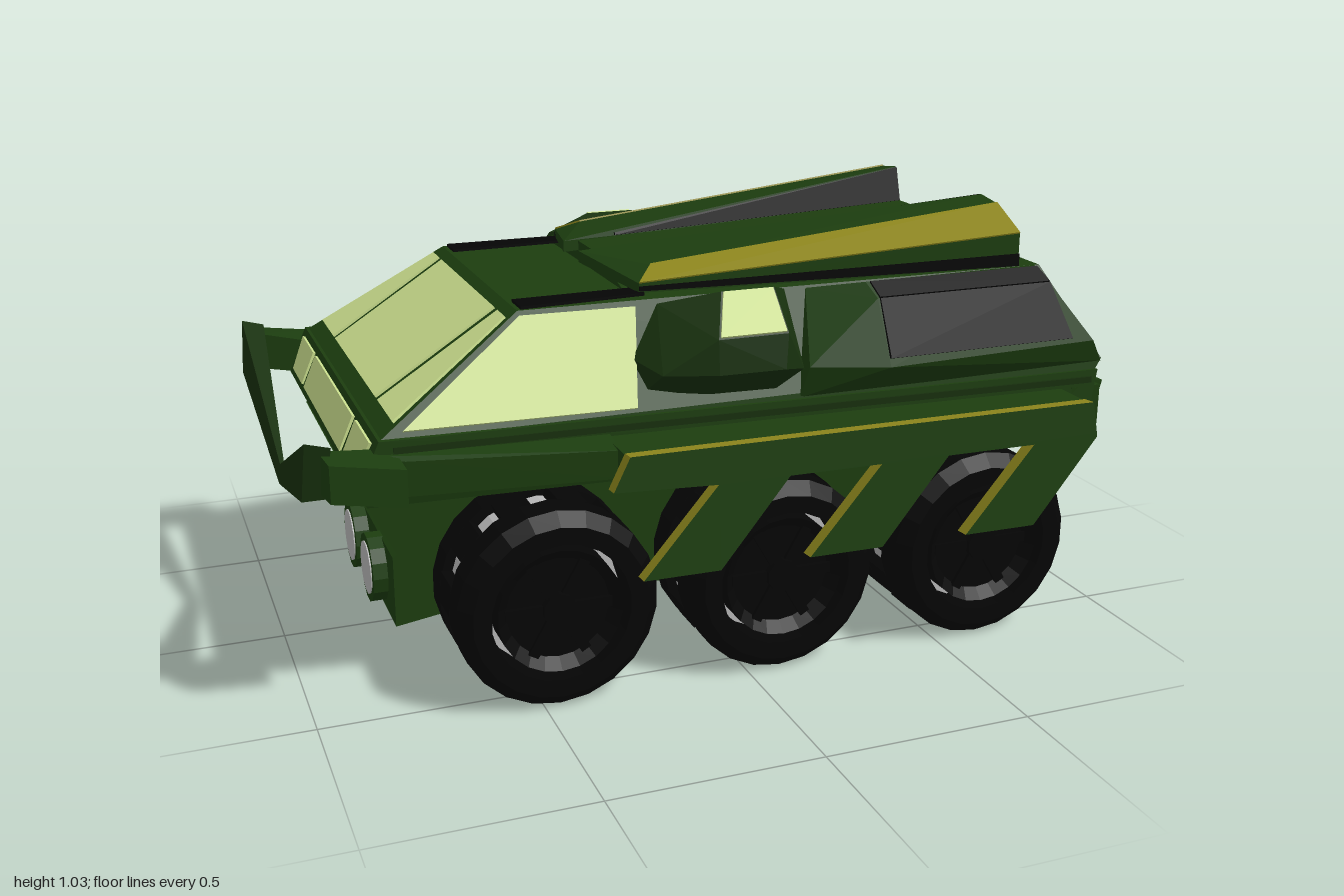
import * as THREE from 'three';
import { ConvexGeometry } from 'three/addons/geometries/ConvexGeometry.js';

const mat = (color, side = THREE.FrontSide) => new THREE.MeshStandardMaterial({ color, flatShading: true, side });
const GREEN = mat(0x1c3d0f), DARK = mat(0x17300d), BLACK = mat(0x050505);
const YELLOW = mat(0x8c851c), GLASS = mat(0xc8dc8c), GREY = mat(0xb8b8b8);
const TYRE = mat(0x050505, THREE.DoubleSide);
const lerp = THREE.MathUtils.lerp;

export function createModel() {
  const model = new THREE.Group();
  const add = (name, geo, material, parent = model) => {
    const mesh = new THREE.Mesh(geo, material);
    mesh.name = name;
    parent.add(mesh);
    return mesh;
  };
  const vecs = (pts, s = 1) => pts.map(([x, y, z]) => new THREE.Vector3(x, y, z * s));
  // faceted solid from its corners, one on each side
  const pair = (name, material, pts) => {
    for (const s of [1, -1]) add(name, new ConvexGeometry(vecs(pts, s)), material);
  };
  // corners listed for one side, solid spanning the full width
  const wide = (name, material, pts) =>
    add(name, new ConvexGeometry([...vecs(pts), ...vecs(pts, -1)]), material);
  // thin plate through four corners
  const plate = (name, material, pts, t = 0.008, sides = [1, -1]) => {
    for (const s of sides) {
      const v = vecs(pts, s);
      const n = v[2].clone().sub(v[0]).cross(v[3].clone().sub(v[1])).normalize().multiplyScalar(t);
      add(name, new ConvexGeometry(v.flatMap((p) => [p.clone().add(n), p.clone().sub(n)])), material);
    }
  };
  const box = (name, material, x0, x1, y0, y1, z0, z1) => {
    for (const s of [1, -1]) {
      add(name, new THREE.BoxGeometry(x1 - x0, y1 - y0, z1 - z0), material)
        .position.set((x0 + x1) / 2, (y0 + y1) / 2, s * (z0 + z1) / 2);
    }
  };

  // lower hull, belt, front fenders and cabin
  wide('lowerHull', GREEN, [[-0.87, 0.51, 0.285], [-0.7, 0.3, 0.285], [-0.68, 0.13, 0.285], [0.5, 0.13, 0.285],
    [0.84, 0.3, 0.285], [0.89, 0.47, 0.285], [0.87, 0.51, 0.285]]);
  wide('belt', GREEN, [[-0.83, 0.65, 0.5], [0.92, 0.65, 0.575], [-0.88, 0.54, 0.5], [0.9, 0.54, 0.58],
    [-0.86, 0.5, 0.49], [0.89, 0.5, 0.577]]);
  pair('frontFender', GREEN, [[-0.87, 0.53, 0.5], [-0.85, 0.62, 0.5], [-0.78, 0.53, 0.53], [-0.78, 0.61, 0.53],
    [-0.32, 0.54, 0.61], [-0.32, 0.605, 0.61], [-0.32, 0.54, 0.48], [-0.32, 0.62, 0.48]]);
  wide('cabin', GREEN, [[-0.83, 0.645, 0.49], [0.935, 0.675, 0.565], [0.91, 0.64, 0.57],
    [-0.48, 0.872, 0.36], [0.835, 0.885, 0.42]]);
  pair('beltRail', DARK, [[-0.8, 0.62, 0.505], [0.9, 0.62, 0.582], [-0.8, 0.635, 0.505], [0.9, 0.635, 0.582],
    [-0.8, 0.62, 0.4], [0.9, 0.635, 0.4]]);
  plate('rearPanel', DARK, [[0.89, 0.45, 0.25], [0.852, 0.32, 0.25], [0.852, 0.32, -0.25], [0.89, 0.45, -0.25]], 0.006, [1]);

  // windscreen, side windows and rear windows
  const ws = (t, z) => [-0.83 + 0.35 * t, 0.647 + 0.225 * t, z];
  plate('windscreen', GLASS, [ws(0.12, -0.26), ws(0.12, 0.26), ws(0.93, 0.26), ws(0.93, -0.26)], 0.005, [1]);
  plate('windscreenCorner', GLASS, [ws(0.12, 0.29), ws(0.12, 0.455), ws(0.93, 0.352), ws(0.93, 0.29)], 0.005);
  plate('noseWindow', GLASS, [[-0.872, 0.555, -0.26], [-0.872, 0.555, 0.26], [-0.838, 0.635, 0.26], [-0.838, 0.635, -0.26]], 0.006, [1]);
  plate('noseWindowCorner', GLASS, [[-0.872, 0.555, 0.29], [-0.872, 0.555, 0.44], [-0.838, 0.635, 0.46], [-0.838, 0.635, 0.29]], 0.006);
  const side = (x, y) => [x, y, lerp(0.49 + (x + 0.83) * 0.0455, 0.36 + (x + 0.48) * 0.046, (y - 0.645) / 0.229)];
  plate('sideWindow', GLASS, [side(-0.775, 0.66), side(-0.25, 0.66), side(-0.21, 0.86), side(-0.48, 0.86)], 0.01);
  const back = (y, z) => [0.935 - (y - 0.675) * 0.476, y, z];
  plate('rearWindowInner', GLASS, [back(0.71, 0.025), back(0.71, 0.26), back(0.835, 0.26), back(0.835, 0.025)], 0.005);
  plate('rearWindowOuter', GLASS, [back(0.71, 0.3), back(0.71, 0.475), back(0.835, 0.4), back(0.835, 0.3)], 0.005);
  plate('rearSill', BLACK, [back(0.675, -0.53), back(0.675, 0.53), back(0.688, 0.53), back(0.688, -0.53)], 0.005, [1]);
  plate('roofInset', BLACK, [[-0.47, 0.873, 0.28], [-0.47, 0.873, 0.353], [-0.17, 0.876, 0.34], [-0.17, 0.876, 0.28]], 0.006);

  // roof deck and the two rising fins
  wide('roofDeck', GREEN, [[-0.2, 0.87, 0.3], [-0.2, 0.925, 0.07], [0.78, 0.87, 0.38], [0.78, 0.94, 0.2]]);
  const finFront = [[-0.18, 0.88, 0.33], [-0.18, 0.902, 0.33], [-0.13, 0.93, 0.27], [-0.24, 0.928, 0.06], [-0.24, 0.9, 0.06]];
  const finRear = [[0.78, 0.88, 0.412], [0.78, 0.965, 0.412], [0.78, 1.02, 0.3], [0.78, 1.03, 0.225], [0.78, 0.93, 0.195]];
  pair('fin', GREEN, [...finFront, ...finRear]);
  plate('finStripe', YELLOW, [finFront[1], finRear[1], finRear[2], finFront[2]], 0.004);
  plate('finInnerFace', BLACK, [[-0.1, 0.93, 0.075], [0.778, 0.94, 0.195], [0.778, 1.028, 0.222], [-0.1, 0.936, 0.078]], 0.004);
  plate('finShadowLine', BLACK, [[-0.18, 0.885, 0.332], [0.78, 0.885, 0.412], [0.78, 0.915, 0.412], [-0.18, 0.895, 0.332]], 0.005);

  // rear side pods with black panels
  pair('rearPod', GREEN, [[0.14, 0.65, 0.53], [0.93, 0.67, 0.57], [0.15, 0.73, 0.56], [0.34, 0.72, 0.595], [0.89, 0.73, 0.59],
    [0.2, 0.88, 0.42], [0.32, 0.9, 0.49], [0.33, 0.87, 0.535], [0.79, 0.87, 0.535], [0.78, 0.9, 0.49], [0.82, 0.885, 0.42]]);
  plate('podPanel', BLACK, [[0.34, 0.74, 0.59], [0.83, 0.74, 0.588], [0.79, 0.87, 0.535], [0.335, 0.87, 0.535]], 0.005);
  plate('podPanelTop', BLACK, [[0.335, 0.87, 0.535], [0.79, 0.87, 0.535], [0.78, 0.898, 0.492], [0.33, 0.898, 0.492]], 0.005);

  // small side blisters with a lookout window
  pair('blister', DARK, [[-0.22, 0.69, 0.48], [-0.24, 0.76, 0.45], [-0.2, 0.74, 0.54], [-0.08, 0.68, 0.52], [0.08, 0.68, 0.53],
    [0.08, 0.74, 0.585], [-0.08, 0.74, 0.58], [-0.08, 0.82, 0.572], [0.09, 0.82, 0.572],
    [-0.04, 0.907, 0.485], [0.09, 0.907, 0.485], [-0.17, 0.875, 0.42], [0.15, 0.88, 0.41], [0.15, 0.72, 0.53]]);
  plate('lookoutWindow', GLASS, [[-0.075, 0.823, 0.57], [0.085, 0.823, 0.57], [0.085, 0.905, 0.488], [-0.037, 0.905, 0.488]], 0.005);

  // side skirts: a rail with three raked flaps, yellow on the edges
  const outline = [[-0.37, 0.54], [-0.33, 0.615], [0.82, 0.615], [0.83, 0.54]];
  for (const x of [0.48, 0.085, -0.31]) {
    outline.push([x + 0.35, 0.53], [x + 0.18, 0.335], [x, 0.335], [x + 0.18, 0.53]);
  }
  const skirt = new THREE.Shape(outline.map(([x, y]) => new THREE.Vector2(x, y - 0.62)));
  for (const s of [1, -1]) {
    const geo = new THREE.ExtrudeGeometry(skirt, { depth: 0.038, bevelEnabled: false });
    geo.translate(0, 0, -0.019).rotateX(-0.1 * s).rotateY(-0.017 * s).translate(0, 0.62, 0.676 * s);
    add('sideSkirt', geo, [GREEN, YELLOW]);
  }
  box('skirtMount', GREEN, -0.33, 0.82, 0.54, 0.61, 0.5, 0.665);

  // front arms and the V-shaped guard between them
  pair('frontArm', GREEN, [[-0.96, 0.55, 0.5], [-0.96, 0.645, 0.5], [-0.79, 0.53, 0.45], [-0.79, 0.615, 0.45],
    [-0.95, 0.555, 0.585], [-0.95, 0.64, 0.585], [-0.79, 0.53, 0.595], [-0.79, 0.615, 0.595]]);
  pair('frontGuard', DARK, [[-1, 0.54, 0.51], [-0.99, 0.675, 0.53], [-0.935, 0.66, 0.53], [-0.95, 0.54, 0.51],
    [-0.985, 0.4, 0], [-0.97, 0.4, 0], [-0.98, 0.45, 0], [-0.97, 0.45, 0]]);

  // headlamp housing
  wide('lampHousing', GREEN, [[-0.77, 0.105, 0.265], [-0.77, 0.28, 0.265], [-0.7, 0.33, 0.265], [-0.6, 0.3, 0.265], [-0.6, 0.13, 0.265]]);
  for (const z of [0.11, -0.11]) {
    add('headlamp', new THREE.CylinderGeometry(0.085, 0.085, 0.06, 14).rotateZ(Math.PI / 2), GREEN).position.set(-0.775, 0.2, z);
    add('headlampLens', new THREE.CylinderGeometry(0.066, 0.066, 0.01, 14).rotateZ(Math.PI / 2), GREY).position.set(-0.803, 0.2, z);
  }

  // rear bumper boxes with black inserts
  for (const [z0, z1] of [[0.07, 0.275], [0.295, 0.505]]) {
    pair('rearBox', GREEN, [[0.87, 0.54, z0], [0.87, 0.61, z0], [0.87, 0.54, z1], [0.87, 0.61, z1],
      [0.975, 0.52, z0 + 0.02], [0.995, 0.592, z0 + 0.02], [0.975, 0.52, z1 - 0.01], [0.995, 0.592, z1 - 0.01]]);
    plate('rearInsert', BLACK, [[0.979, 0.53, z0 + 0.03], [0.979, 0.53, z1 - 0.02],
      [0.992, 0.58, z1 - 0.02], [0.992, 0.58, z0 + 0.03]], 0.003);
  }
  box('rearCorner', GREEN, 0.85, 0.93, 0.51, 0.61, 0.5, 0.575);

  // six wheels: two tyre walls joined by tread blocks, a grey rim showing between them
  const lathe = (pts, n) =>
    new THREE.LatheGeometry(pts.map(([r, y]) => new THREE.Vector2(r, y)), n).rotateX(Math.PI / 2);
  const wallGeo = lathe([[0.163, 0.045], [0.235, 0.045], [0.235, 0.115], [0.205, 0.145], [0.163, 0.145], [0.163, 0.045]], 22);
  const hubGeo = lathe([[0, -0.11], [0.12, -0.11], [0.146, -0.135], [0.146, 0.135], [0.12, 0.11], [0, 0.11]], 22);
  const rimGeo = new THREE.CylinderGeometry(0.212, 0.212, 0.1, 22).rotateX(Math.PI / 2);
  const capGeo = new THREE.CylinderGeometry(0.04, 0.04, 0.26, 10).rotateX(Math.PI / 2);
  for (const x of [-0.46, 0.085, 0.62]) {
    for (const s of [1, -1]) {
      const wheel = new THREE.Group();
      wheel.name = 'wheel';
      wheel.position.set(x, 0.235, 0.455 * s);
      add('tyreWall', wallGeo, TYRE, wheel);
      add('tyreWall', wallGeo, TYRE, wheel).rotation.y = Math.PI;
      add('hub', hubGeo, TYRE, wheel);
      add('rim', rimGeo, GREY, wheel);
      add('hubCap', capGeo, BLACK, wheel);
      for (let i = 0; i < 3; i++) {
        add('spoke', new THREE.BoxGeometry(0.25, 0.025, 0.24), BLACK, wheel).rotation.z = i * Math.PI / 3;
      }
      for (let i = 0; i < 11; i++) {
        const a = -0.1 + (i + 0.5) * Math.PI * 2 / 11;
        const block = add('treadBlock', new THREE.BoxGeometry(0.034, 0.072, 0.094), BLACK, wheel);
        block.position.set(Math.cos(a) * 0.216, Math.sin(a) * 0.216, 0);
        block.rotation.z = a;
      }
      model.add(wheel);
    }
  }
  return model;
}
